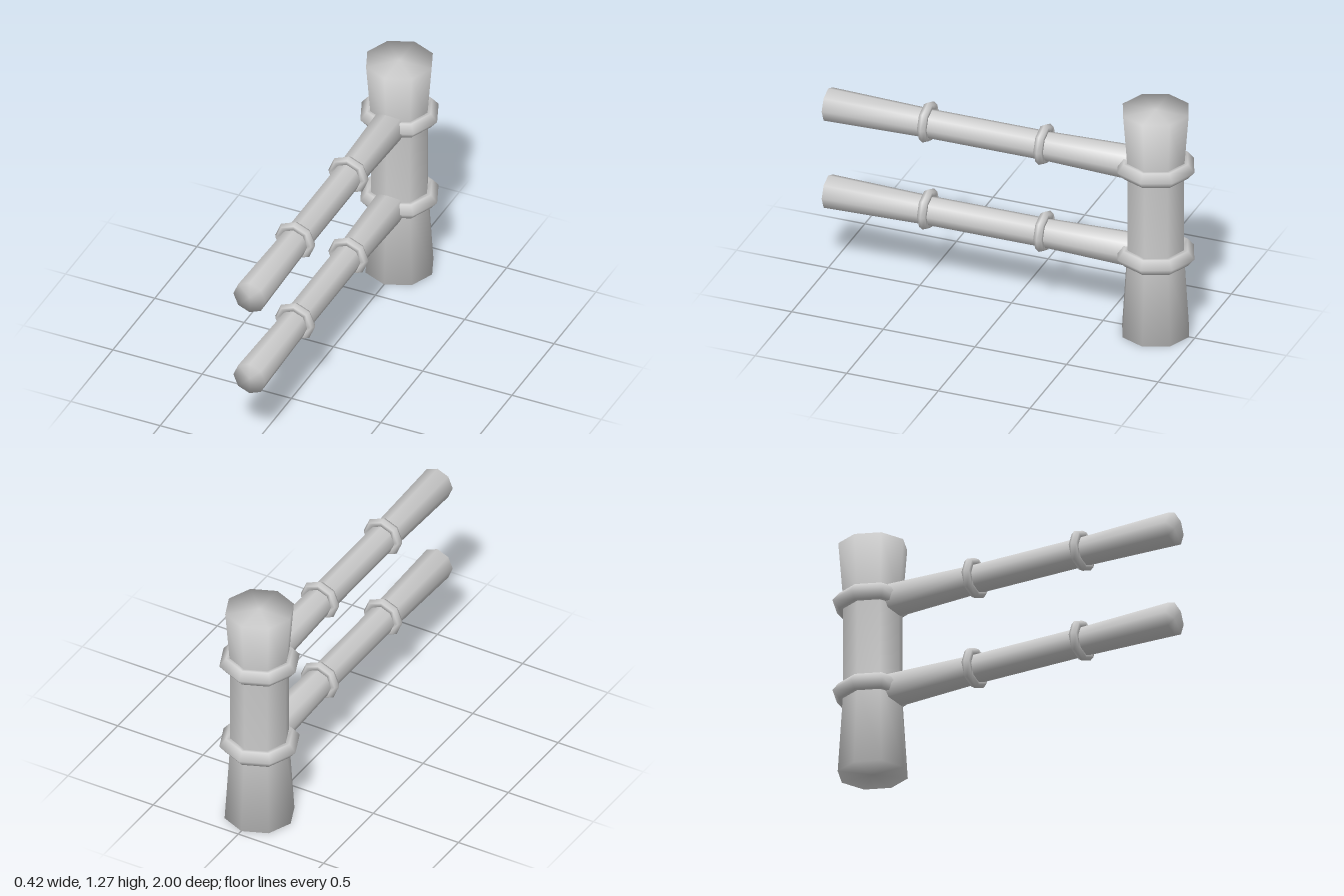
import * as THREE from 'three';

const SIDES = 8;

export function createModel() {
  const model = new THREE.Group();
  const material = new THREE.MeshStandardMaterial({ color: 0xcccccc });

  // Octagonal turned shape from [radius, height] pairs, listed bottom to top
  const turned = (name, profile) => {
    const points = profile.map(([r, h]) => new THREE.Vector2(r, h));
    const mesh = new THREE.Mesh(new THREE.LatheGeometry(points, SIDES), material);
    mesh.name = name;
    return mesh;
  };

  // Ring with a pointed hexagonal section
  const ring = (name, outer, corner, inner, half) => turned(name, [
    [inner, 0], [inner + 0.01, -half], [corner, -half], [outer, 0],
    [corner, half], [inner + 0.01, half], [inner, 0],
  ]);

  // Upright post, flared at both ends, with two binding rings
  const post = new THREE.Group();
  post.name = 'post';
  post.position.z = -0.787;
  post.add(turned('postStalk', [
    [0, 0], [0.183, 0], [0.154, 0.452], [0.154, 0.954], [0.18, 1.275], [0, 1.275],
  ]));
  for (const y of [0.452, 0.954]) {
    const band = ring('postRing', 0.211, 0.176, 0.13, 0.042);
    band.position.y = y;
    post.add(band);
  }
  model.add(post);

  // Two rails running forward from the post, each with two rings
  for (const [name, y] of [['lowerRail', 0.443], ['upperRail', 0.946]]) {
    const rail = new THREE.Group();
    rail.name = name;
    rail.position.y = y;
    rail.rotation.x = Math.PI / 2;
    rail.add(turned('railStalk', [
      [0, -0.68], [0.092, -0.68], [0.077, -0.18], [0.077, 0.455], [0.09, 1], [0, 1],
    ]));
    for (const along of [-0.18, 0.455]) {
      const band = ring('railRing', 0.112, 0.099, 0.065, 0.022);
      band.position.set(0, along, -0.007);
      rail.add(band);
    }
    model.add(rail);
  }

  return model;
}
